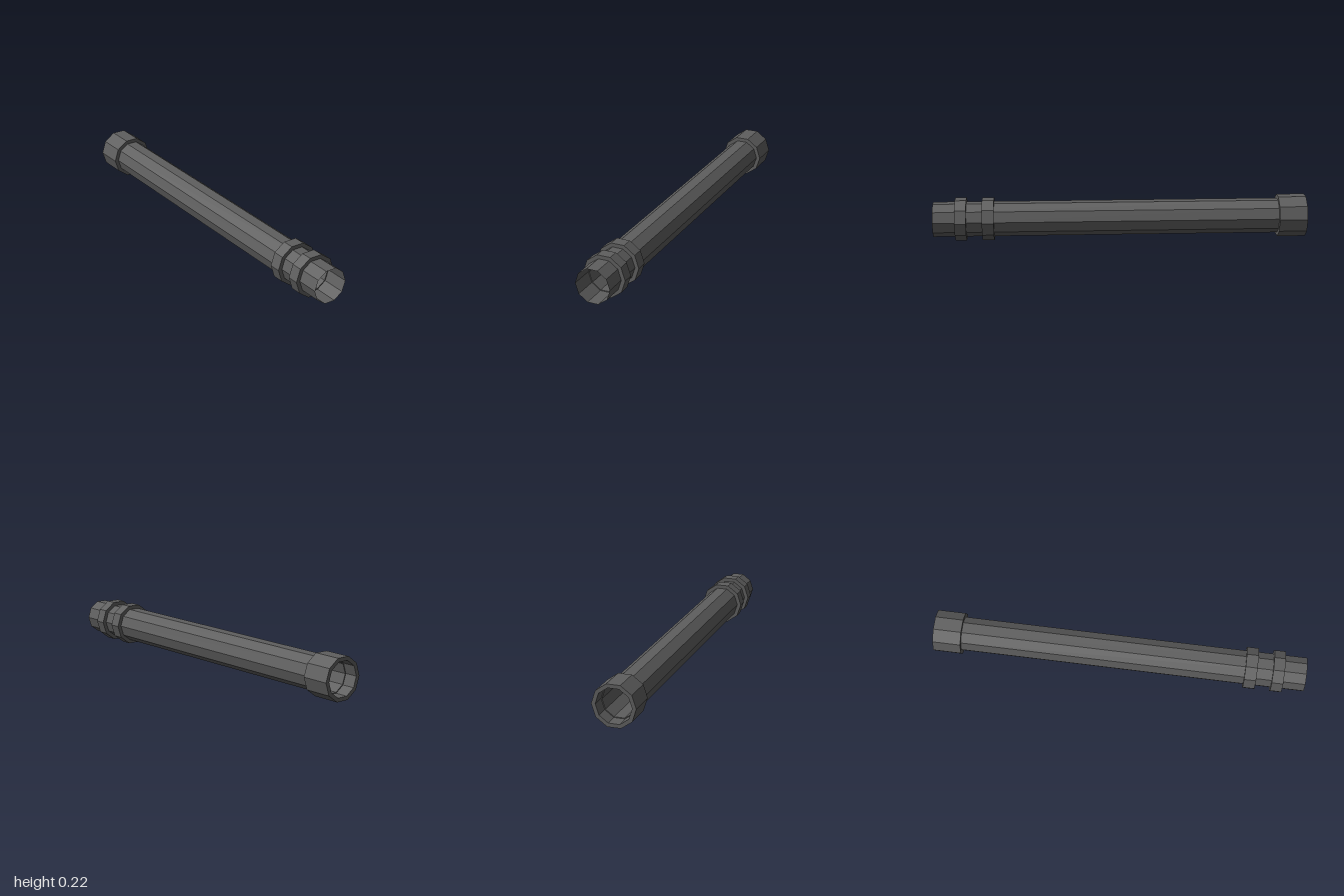
import * as THREE from 'three';

const SIDES = 10;
const OUTER = 0.1145;  // corner radius of collar and rings
const TUBE = 0.0935;   // corner radius of the tube
const BORE = 0.0885;   // corner radius of the narrower bore inside
const AXIS_Y = OUTER * Math.cos(Math.PI / SIDES); // flat side rests on the ground

// Ten-sided turned part along z, from [radius, z] profile points
function turned(name, profile, material) {
  const points = profile.map(([r, z]) => new THREE.Vector2(r, z));
  const geometry = new THREE.LatheGeometry(points, SIDES, Math.PI / 2);
  geometry.rotateX(Math.PI / 2);
  const mesh = new THREE.Mesh(geometry, material);
  mesh.name = name;
  mesh.position.y = AXIS_Y;
  return mesh;
}

// Closed band with a rectangular section between two z positions
function band(name, inner, outer, z0, z1, material) {
  return turned(name, [
    [inner, z0], [outer, z0], [outer, z1], [inner, z1], [inner, z0],
  ], material);
}

export function createModel() {
  const group = new THREE.Group();
  group.name = 'pipe';
  const solid = new THREE.MeshStandardMaterial({ color: 0x5e5e5e, flatShading: true });
  const thin = solid.clone();
  thin.side = THREE.DoubleSide;

  // Open thin-walled tube, with a lining that leaves a small step inside each mouth
  group.add(turned('tube', [[TUBE, -0.93], [TUBE, 1]], thin));
  group.add(band('lining', BORE, TUBE - 0.0005, -0.93, 0.87, solid));

  // Long collar at the back end, two narrow rings near the front
  group.add(band('endCollar', TUBE, OUTER, -1, -0.85, solid));
  group.add(band('rearRing', TUBE, OUTER, 0.675, 0.738, solid));
  group.add(band('frontRing', TUBE, OUTER, 0.822, 0.882, solid));

  return group;
}
